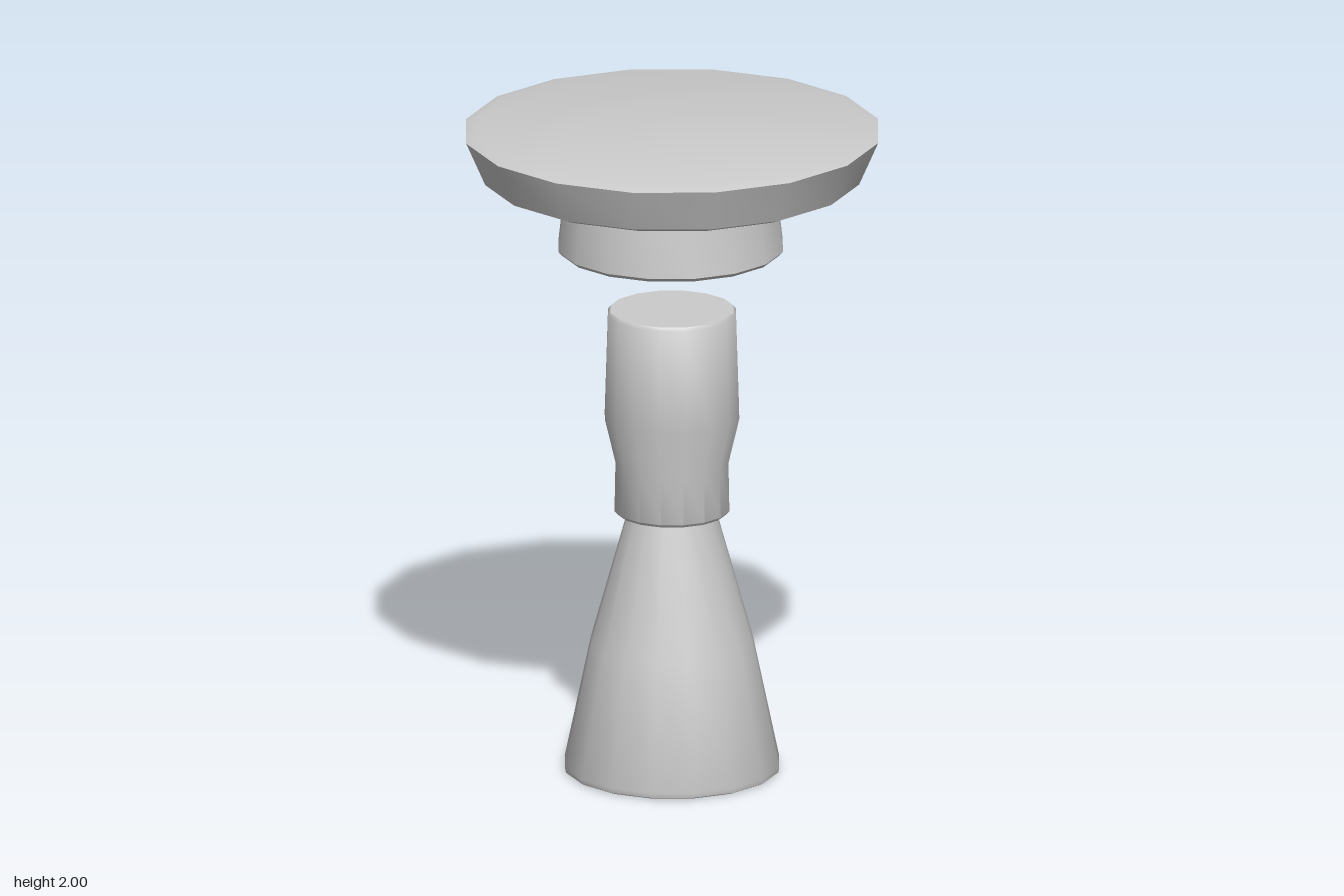
import * as THREE from 'three';
import { toCreasedNormals } from 'three/addons/utils/BufferGeometryUtils.js';

const SIDES = 16;

// Turned part from [radius, height] pairs, listed from bottom to top
function turned(name, profile, side = THREE.FrontSide) {
  const points = profile.map(([r, y]) => new THREE.Vector2(r, y));
  const geometry = toCreasedNormals(new THREE.LatheGeometry(points, SIDES), 0.75);
  const material = new THREE.MeshStandardMaterial({ color: 0xcccccc, side });
  const mesh = new THREE.Mesh(geometry, material);
  mesh.name = name;
  return mesh;
}

export function createModel() {
  const model = new THREE.Group();
  model.name = 'pedestal';

  // Hollow flared foot, open underneath
  model.add(turned('foot', [
    [0.312, 0], [0.322, 0.005], [0.325, 0.02], [0.245, 0.4], [0.13, 0.81],
  ], THREE.DoubleSide));

  // Closed stem with a narrow collar and a wider upper barrel
  model.add(turned('stem', [
    [0, 0.8], [0.165, 0.8], [0.174, 0.81], [0.171, 0.96],
    [0.204, 1.1], [0.194, 1.42], [0.187, 1.43], [0, 1.43],
  ]));

  // Hub under the plate, floating above the stem
  const hub = turned('hub', [
    [0, 1.617], [0.33, 1.617], [0.34, 1.628], [0.315, 1.845], [0, 1.845],
  ]);
  hub.position.x = -0.004;
  model.add(hub);

  // Wide round plate with a sloping rim
  model.add(turned('plate', [
    [0, 1.837], [0.53, 1.837], [0.567, 1.852], [0.625, 1.985],
    [0.585, 1.997], [0, 2],
  ]));

  return model;
}
